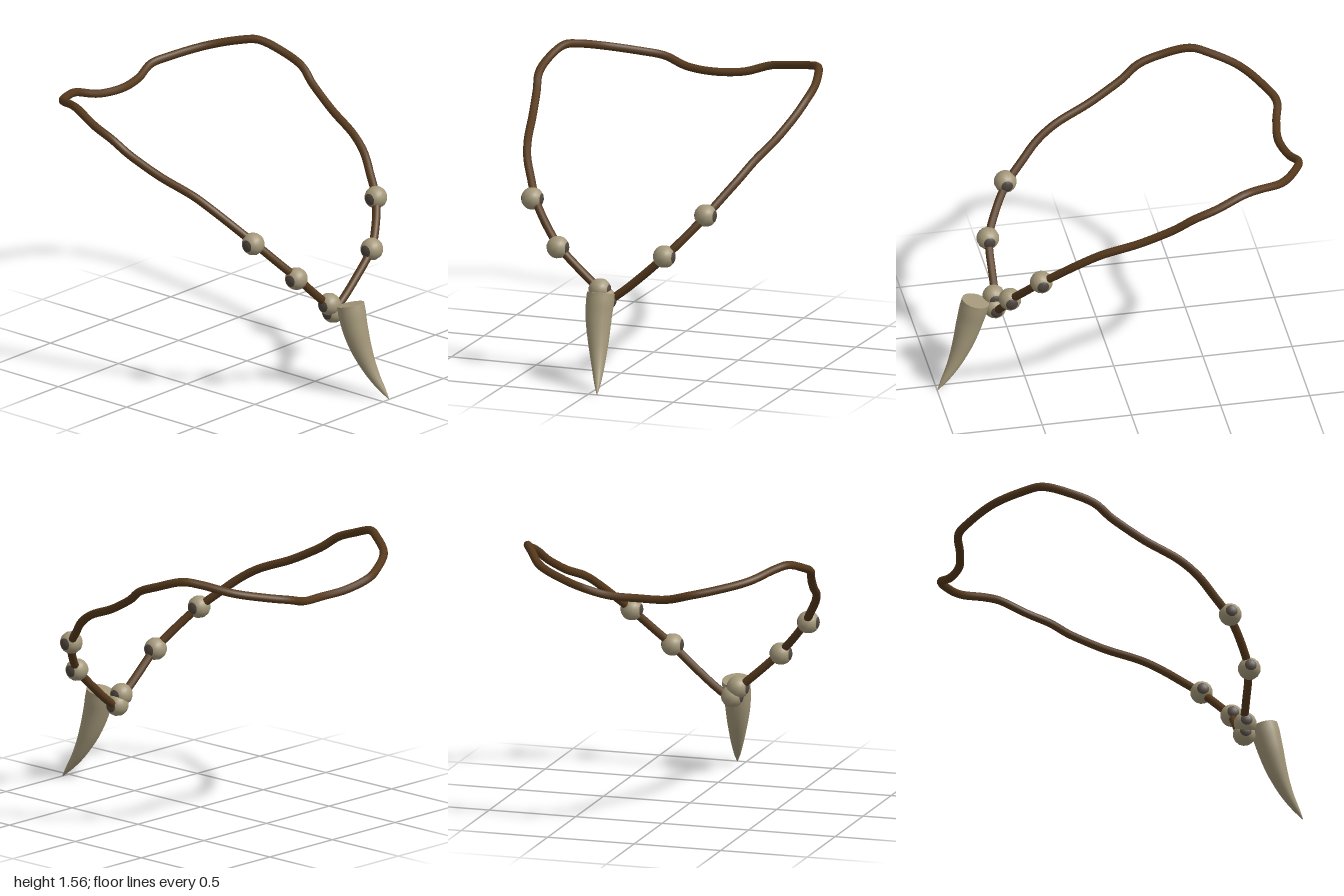
import * as THREE from 'three';

const material = (name, color, side = THREE.FrontSide) => {
  const m = new THREE.MeshStandardMaterial({ color, side });
  m.name = name;
  return m;
};

function addMesh(parent, name, geometry, mat) {
  const mesh = new THREE.Mesh(geometry, mat);
  mesh.name = name;
  parent.add(mesh);
  return mesh;
}

// Horn: a cylinder whose rings follow a curve and shrink towards the tip
function hornGeometry(centres, radii) {
  const curve = new THREE.CatmullRomCurve3(centres.map(p => new THREE.Vector3(...p)));
  const geo = new THREE.CylinderGeometry(1, 1, 1, 20, 24, false, Math.PI);
  const pos = geo.attributes.position;
  const last = radii.length - 1;
  for (let i = 0; i < pos.count; i++) {
    const t = THREE.MathUtils.clamp(0.5 - pos.getY(i), 0, 1);
    const k = Math.min(Math.floor(t * last), last - 1);
    const r = THREE.MathUtils.lerp(radii[k], radii[k + 1], t * last - k);
    const c = curve.getPoint(t), down = curve.getTangent(t);
    const u = new THREE.Vector3(1, 0, 0).addScaledVector(down, -down.x).normalize();
    const w = u.clone().cross(down).negate();
    c.addScaledVector(u, pos.getX(i) * r).addScaledVector(w, pos.getZ(i) * r);
    pos.setXYZ(i, c.x, c.y, c.z);
  }
  geo.computeVertexNormals();
  return geo;
}

export function createModel() {
  const group = new THREE.Group();
  group.name = 'toothNecklace';
  const cordMat = material('brown cord', 0x56391c);
  const boneMat = material('bone', 0xa4987a);
  const darkMat = material('dark bead ends', 0x50463f);

  // Cord: one half from the nape to the chest, mirrored into a closed loop
  const half = [
    [0.17, 1.385, -0.945], [0.31, 1.425, -0.975], [0.43, 1.45, -0.93],
    [0.6, 1.49, -0.82], [0.7, 1.53, -0.67], [0.75, 1.54, -0.58],
    [0.79, 1.49, -0.42], [0.79, 1.44, -0.29], [0.765, 1.375, -0.2],
    [0.745, 1.33, -0.12], [0.715, 1.27, 0.0], [0.665, 1.19, 0.2],
    [0.625, 1.12, 0.31], [0.57, 1.04, 0.4], [0.5, 0.94, 0.505],
    [0.4, 0.82, 0.59], [0.31, 0.725, 0.638], [0.17, 0.595, 0.648], [0.05, 0.495, 0.65],
  ];
  const loop = [
    [0, 1.375, -0.922], ...half, [0, 0.465, 0.65],
    ...half.map(([x, y, z]) => [-x, y, z]).reverse(),
  ].map(p => new THREE.Vector3(...p));
  const path = new THREE.CatmullRomCurve3(loop, true);
  addMesh(group, 'cord', new THREE.TubeGeometry(path, 200, 0.023, 10, true), cordMat);

  // Beads: bone bands with dark ends, the axis lying across the necklace
  const R = 0.063, cap = 0.56;
  const bandGeo = new THREE.SphereGeometry(R, 14, 8, 0, Math.PI * 2, cap, Math.PI - 2 * cap);
  const endGeo = new THREE.SphereGeometry(R, 14, 2, 0, Math.PI * 2, 0, cap);
  const beads = [
    [0.5, 0.945, 0.505], [0.31, 0.727, 0.643], [-0.52, 0.948, 0.505],
    [-0.317, 0.723, 0.643], [-0.063, 0.51, 0.66], [-0.03, 0.457, 0.66],
  ];
  for (const [x, y, z] of beads) {
    const bead = new THREE.Group();
    bead.name = 'bead';
    bead.position.set(x, y, z);
    bead.rotation.z = -Math.PI / 2;
    addMesh(bead, 'beadBody', bandGeo, boneMat);
    addMesh(bead, 'beadEnd', endGeo, darkMat);
    addMesh(bead, 'beadEnd', endGeo, darkMat).rotation.x = Math.PI;
    group.add(bead);
  }

  // Tooth pendant, curving forwards and slightly to its left
  const centres = [
    [-0.014, 0.522, 0.772], [-0.014, 0.39, 0.806], [0.0, 0.26, 0.848],
    [0.022, 0.13, 0.91], [0.05, 0.004, 0.998],
  ];
  const radii = [0.077, 0.078, 0.074, 0.07, 0.064, 0.057, 0.048, 0.039, 0.029, 0.018, 0.002];
  addMesh(group, 'tooth', hornGeometry(centres, radii), boneMat);

  return group;
}
